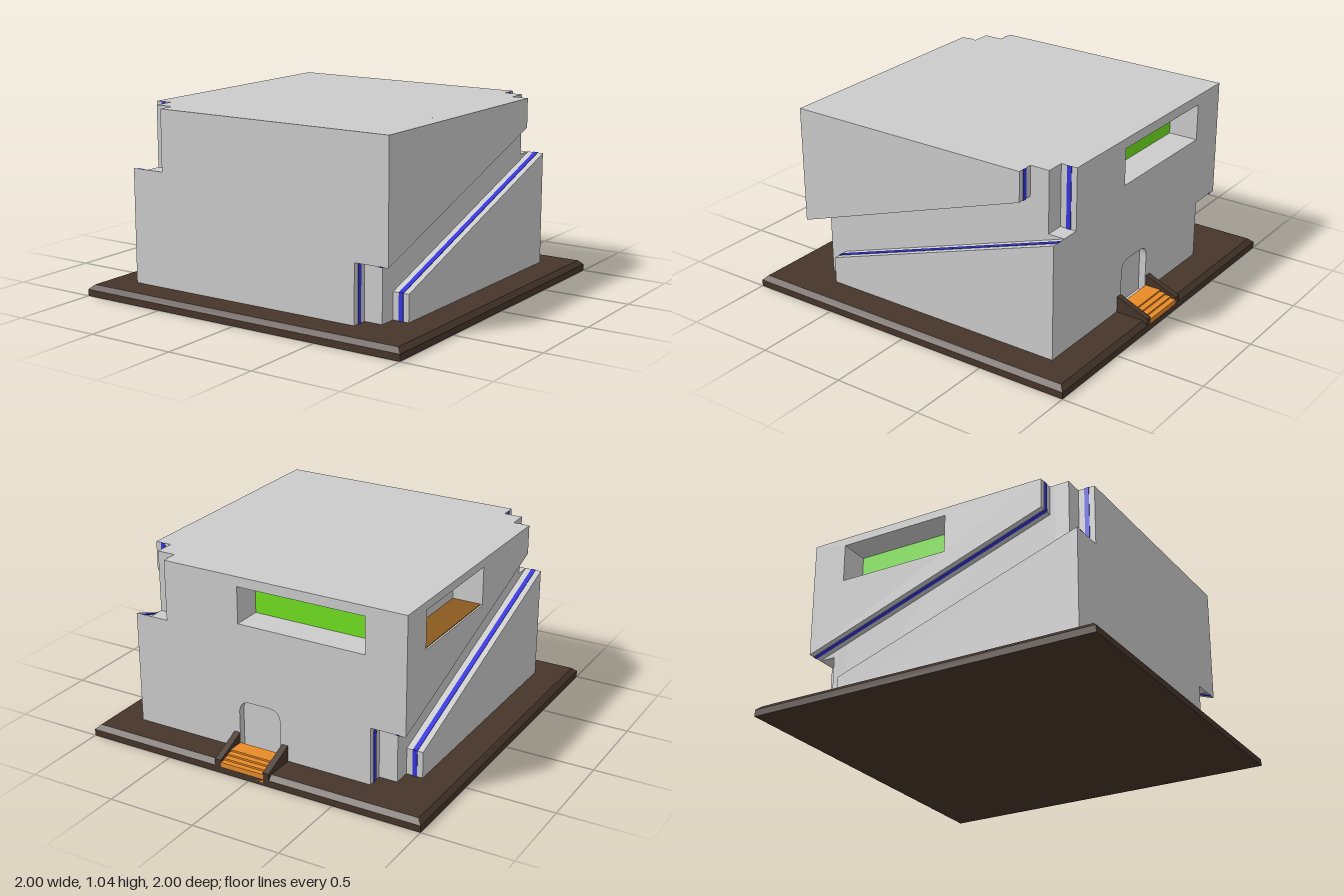
import * as THREE from 'three';

const mat = (color) => new THREE.MeshStandardMaterial({ color, flatShading: true });
const GREY = mat(0xcccccc), BLUE = mat(0x3535dd), EARTH = mat(0x46352a);
const ORANGE = mat(0xe88a28), GREEN = mat(0x70e020), BROWN = mat(0x8a5a20);

const LOW = 0.06, TOP = 1.04;           // wall foot and roof height
const INNER = 0.64, MID = 0.72, OUT = 0.813; // wall layers, outwards
const MOUTH = 0.385, LEDGE = 0.70, NOTCH = 0.615;

function add(parent, name, geometry, material, x = 0, y = 0, z = 0) {
  const mesh = new THREE.Mesh(geometry, material);
  mesh.name = name;
  mesh.position.set(x, y, z);
  parent.add(mesh);
  return mesh;
}

// Box given by its limits
function block(parent, name, material, x0, x1, y0, y1, z0, z1) {
  return add(parent, name, new THREE.BoxGeometry(x1 - x0, y1 - y0, z1 - z0), material,
    (x0 + x1) / 2, (y0 + y1) / 2, (z0 + z1) / 2);
}

const polygon = (pts) => new THREE.Shape(pts.map(([x, y]) => new THREE.Vector2(x, y)));
const rect = (x0, x1, y0, y1) => polygon([[x0, y0], [x1, y0], [x1, y1], [x0, y1]]);

// Wall layer cut to an outline, from depth z0 to z1
function plate(parent, name, shape, z0, z1, holes = []) {
  shape.holes.push(...holes);
  add(parent, name, new THREE.ExtrudeGeometry(shape, { depth: z1 - z0, bevelEnabled: false }), GREY, 0, 0, z0);
}

// Thin blue line between two points of a wall, in the middle of the groove
function stripe(parent, [x0, y0], [x1, y1]) {
  const length = Math.hypot(x1 - x0, y1 - y0);
  const line = add(parent, 'grooveStripe', new THREE.BoxGeometry(length, 0.006, 0.026), BLUE,
    (x0 + x1) / 2, (y0 + y1) / 2, 0.768);
  line.rotation.z = Math.atan2(y1 - y0, x1 - x0);
}

function doorShape(x0, x1, y0, y1, r) {
  const s = new THREE.Shape();
  s.moveTo(x0, y0);
  s.lineTo(x1, y0);
  s.lineTo(x1, y1 - r);
  s.quadraticCurveTo(x1, y1, x1 - r, y1);
  s.lineTo(x0 + r, y1);
  s.quadraticCurveTo(x0, y1, x0, y1 - r);
  return s;
}

// One plain wall and one grooved wall; the second half also has the openings
function createHalf(open) {
  const half = new THREE.Group();
  const wall = new THREE.Group();
  wall.name = 'plainWall';
  const side = new THREE.Group();
  side.name = 'groovedWall';
  side.rotation.y = Math.PI / 2;
  half.add(wall, side);

  const wallWindow = () => (open ? [rect(-0.165, 0.58, 0.78, 0.985)] : []);
  const sideWindow = () => (open ? [rect(-0.615, 0.03, 0.78, 0.995)] : []);
  const door = () => (open ? [doorShape(-0.17, 0.08, LOW + 0.003, 0.34, 0.07)] : []);

  // Inner layers
  plate(wall, 'innerWall', rect(-MID, MID, LOW, TOP), INNER, MID, wallWindow());
  plate(side, 'innerWall', rect(-INNER, INNER, LOW, TOP), INNER, MID, sideWindow());

  // Plain outer wall, notched at the groove ends
  plate(wall, 'outerWall', polygon([
    [-MID, LOW], [NOTCH, LOW], [NOTCH, MOUTH], [MID, MOUTH], [MID, TOP],
    [-NOTCH, TOP], [-NOTCH, LEDGE], [-MID, LEDGE],
  ]), MID, OUT, [...wallWindow(), ...door()]);

  // Outer wall above and below the rising groove
  plate(side, 'upperOuterWall', polygon([[-OUT, MOUTH], [0.61, 0.875], [0.61, TOP], [-OUT, TOP]]),
    MID, OUT, sideWindow());
  plate(side, 'lowerOuterWall', polygon([[-0.62, LOW], [OUT, LOW], [OUT, LEDGE], [-0.62, 0.21]]), MID, OUT);

  // Stripes on the groove floor, ceiling and end walls
  stripe(side, [-0.62, LOW], [-0.62, 0.21]);
  stripe(side, [-0.62, 0.21], [OUT, LEDGE]);
  stripe(side, [-OUT, MOUTH], [0.61, 0.875]);
  stripe(side, [0.61, 0.875], [0.61, TOP]);
  stripe(wall, [NOTCH, LOW], [NOTCH, MOUTH]);
  stripe(wall, [-NOTCH, LEDGE], [-NOTCH, TOP]);

  if (open) {
    block(wall, 'windowPane', GREEN, -0.165, 0.58, 0.78, 0.985, INNER - 0.01, INNER + 0.004);
    block(side, 'windowPane', GREEN, -0.615, 0.03, 0.85, 0.995, INNER - 0.01, INNER + 0.004);
    block(side, 'windowSill', BROWN, -0.615, 0.03, 0.775, 0.784, INNER, OUT - 0.01);
    plate(wall, 'door', doorShape(-0.17, 0.08, LOW, 0.34, 0.07), MID, OUT - 0.04);
  }
  return half;
}

function createStairs() {
  const stairs = new THREE.Group();
  stairs.name = 'stairs';
  // Steps climbing to the door
  [-1, -0.97, -0.937, -0.905].forEach((z, i) =>
    block(stairs, 'step', ORANGE, -0.09, 0.17, 0.01, 0.063 + i * 0.01, z, -OUT));
  // Sloping cheeks
  for (const x of [-0.125, 0.17]) {
    const shape = polygon([[OUT, 0.005], [1, 0.005], [1, 0.075], [OUT, 0.152]]);
    const geometry = new THREE.ExtrudeGeometry(shape, { depth: 0.036, bevelEnabled: false });
    geometry.rotateY(Math.PI / 2);
    add(stairs, 'stairCheek', geometry, EARTH, x);
  }
  return stairs;
}

export function createModel() {
  const model = new THREE.Group();
  model.name = 'building';

  // Ground slab with a bevelled rim
  block(model, 'slab', EARTH, -1, 1, 0, 0.037, -1, 1);
  const rim = new THREE.CylinderGeometry(0.974 * Math.SQRT2, Math.SQRT2, 0.025, 4);
  rim.rotateY(Math.PI / 4);
  add(model, 'slabRim', rim, EARTH, 0, 0.0495, 0);

  block(model, 'core', GREY, -INNER, INNER, LOW, TOP, -INNER, INNER);

  const front = createHalf(false);
  front.name = 'frontHalf';
  const back = createHalf(true);
  back.name = 'backHalf';
  back.rotation.y = Math.PI;
  model.add(front, back, createStairs());
  return model;
}
